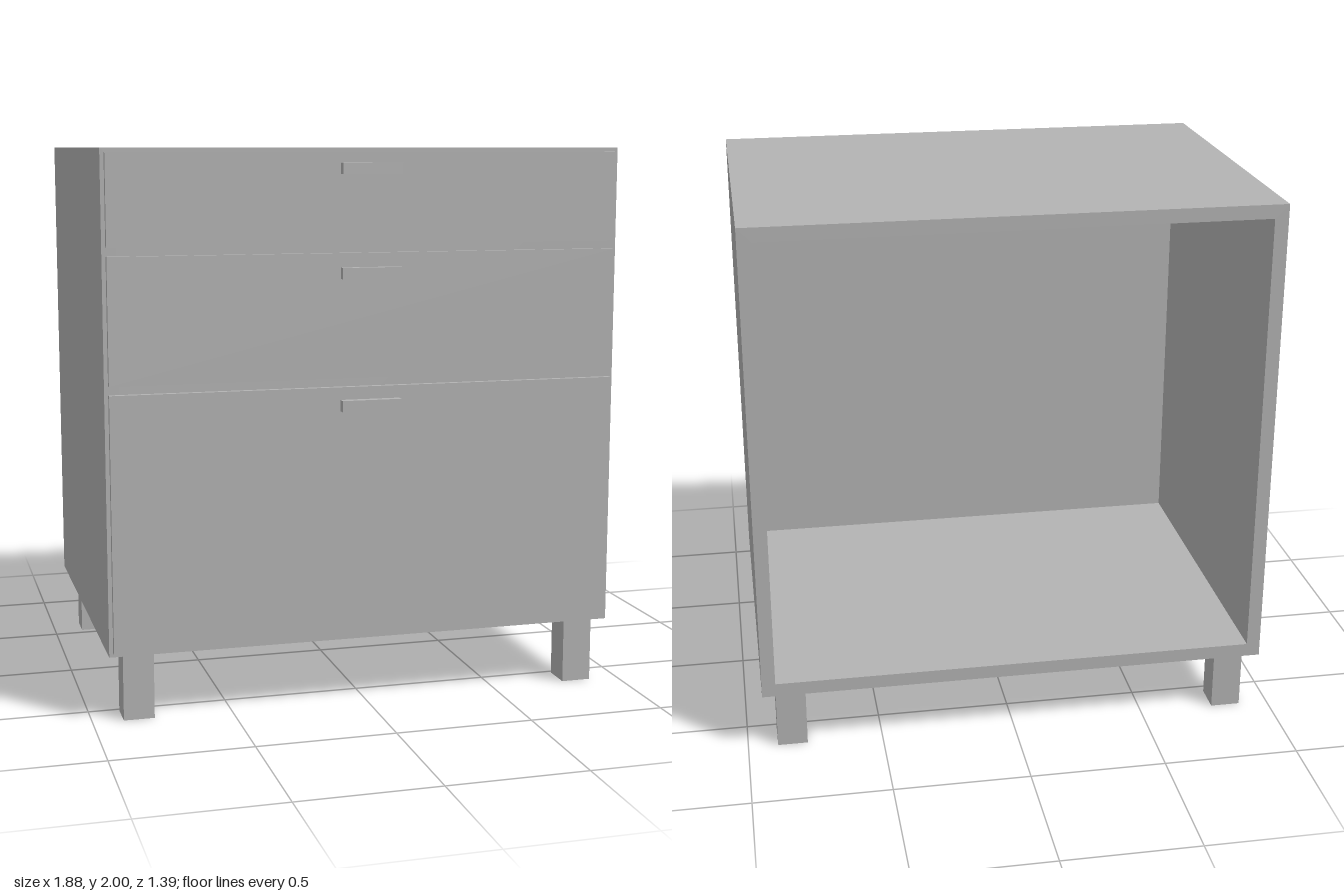
import * as THREE from 'three';

export function createModel() {
  const model = new THREE.Group();
  model.name = 'drawerCabinet';
  const grey = new THREE.MeshStandardMaterial({ color: 0xb3b3b3 });
  grey.name = 'grey';

  const add = (name, geometry) => {
    const mesh = new THREE.Mesh(geometry, grey);
    mesh.name = name;
    model.add(mesh);
    return mesh;
  };
  // box given by its limits on each axis
  const box = (name, [x0, x1], [y0, y1], [z0, z1]) =>
    add(name, new THREE.BoxGeometry(x1 - x0, y1 - y0, z1 - z0))
      .position.set((x0 + x1) / 2, (y0 + y1) / 2, (z0 + z1) / 2);

  const W = 0.94, bottom = 0.24, top = 2, back = -0.695, front = 0.645, wall = 0.05;
  const rect = (path, x, y0, y1) =>
    path.moveTo(-x, y0).lineTo(x, y0).lineTo(x, y1).lineTo(-x, y1).closePath();

  // cabinet shell: four walls, open at the back
  const outline = rect(new THREE.Shape(), W, bottom, top);
  outline.holes.push(rect(new THREE.Path(), W - wall, bottom + wall, top - wall));
  add('cabinetShell', new THREE.ExtrudeGeometry(outline, { depth: front - back, bevelEnabled: false }))
    .position.z = back;

  // panel closing the front of the shell
  box('frontPanel', [-W + wall, W - wall], [bottom + wall, top - wall], [front - wall, front]);

  // drawer fronts, each with a bar handle
  const drawers = [
    { name: 'topDrawer', y: [1.667, 1.985], handle: 1.93 },
    { name: 'middleDrawer', y: [1.197, 1.637], handle: 1.567 },
    { name: 'bottomDrawer', y: [0.255, 1.165], handle: 1.1 },
  ];
  for (const { name, y, handle } of drawers) {
    box(name, [-0.926, 0.926], y, [front, 0.665]);
    box(name + 'Handle', [-0.108, 0.108], [handle - 0.02, handle + 0.02], [0.665, 0.695]);
  }

  // four square legs
  for (const [side, x] of [['Left', 0.835], ['Right', -0.835]])
    for (const [end, z] of [['front', 0.57], ['back', -0.59]])
      box(end + side + 'Leg', [x - 0.055, x + 0.055], [0, bottom], [z - 0.055, z + 0.055]);

  return model;
}
